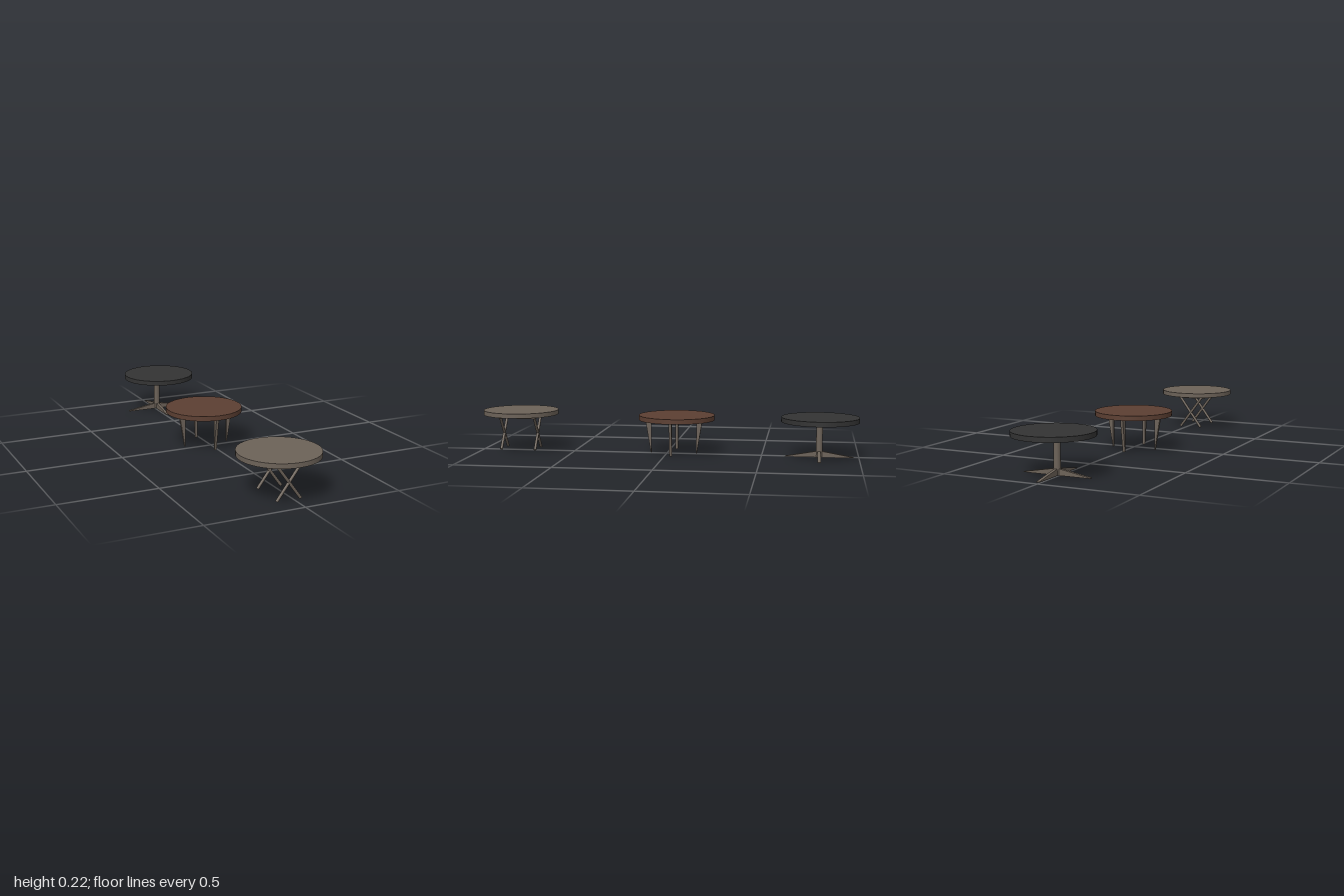
import * as THREE from 'three';

const material = (name, color) => new THREE.MeshStandardMaterial({ name, color });

export function createModel() {
  const taupe = material('taupe', 0x6c6258);
  const brown = material('brown', 0x5c3f32);
  const charcoal = material('charcoal', 0x333333);

  const add = (parent, name, geometry, mat, x = 0, y = 0, z = 0) => {
    const mesh = new THREE.Mesh(geometry, mat);
    mesh.name = name;
    mesh.position.set(x, y, z);
    parent.add(mesh);
    return mesh;
  };

  // Round slab between two heights
  const tabletop = (parent, mat, x, z, bottom, top) =>
    add(parent, 'tabletop', new THREE.CylinderGeometry(0.2, 0.2, top - bottom, 64), mat, x, (bottom + top) / 2, z);

  // Four flat blades around a centre; the outline is (radius, height)
  const blades = (parent, name, outline, thickness, x, z) => {
    const shape = new THREE.Shape(outline.map(([r, y]) => new THREE.Vector2(r, y)));
    const geometry = new THREE.ExtrudeGeometry(shape, { depth: thickness, bevelEnabled: false });
    geometry.translate(0, 0, -thickness / 2);
    for (let i = 0; i < 4; i++) add(parent, name, geometry, taupe, x, 0, z).rotation.y = i * Math.PI / 2;
  };

  const model = new THREE.Group();
  model.name = 'tables';
  const table = (name) => {
    const group = new THREE.Group();
    group.name = name;
    model.add(group);
    return group;
  };

  // Front table: two crossed pairs of round legs under a rectangular frame
  const crossed = table('crossLegTable');
  tabletop(crossed, taupe, -0.03, 0.8, 0.191, 0.215);
  const cx = -0.029, cz = 0.804;
  for (const side of [-1, 1]) {
    add(crossed, 'crossRail', new THREE.BoxGeometry(0.155, 0.017, 0.012), taupe, cx, 0.1825, cz + side * 0.094);
    add(crossed, 'sideRail', new THREE.BoxGeometry(0.012, 0.017, 0.176), taupe, cx + side * 0.0715, 0.1825, cz);
    for (const lean of [-1, 1]) {
      const foot = new THREE.Vector3(-lean * 0.062, 0.005, 0);
      const head = new THREE.Vector3(lean * 0.068, 0.181, 0);
      const dir = head.clone().sub(foot);
      const leg = add(crossed, 'crossLeg', new THREE.CylinderGeometry(0.0072, 0.0072, dir.length(), 16), taupe,
        cx, 0.093, cz + side * 0.093);
      leg.position.x += (foot.x + head.x) / 2;
      leg.quaternion.setFromUnitVectors(new THREE.Vector3(0, 1, 0), dir.normalize());
    }
  }

  // Middle table: four tapered fin legs
  const finned = table('finLegTable');
  tabletop(finned, brown, -0.018, -0.05, 0.178, 0.203);
  blades(finned, 'taperedLeg', [[0.12, 0], [0.1225, 0], [0.152, 0.178], [0.12, 0.178]], 0.014, -0.0145, -0.035);

  // Back table: column with a four-pointed foot and matching top brackets
  const pedestal = table('pedestalTable');
  tabletop(pedestal, charcoal, 0.029, -0.8, 0.186, 0.211);
  const px = 0.0138, pz = -0.797;
  add(pedestal, 'column', new THREE.CylinderGeometry(0.0165, 0.0165, 0.184, 32), taupe, px, 0.094, pz);
  blades(pedestal, 'footBlade', [[0, 0], [0.176, 0], [0.176, 0.003], [0.012, 0.032], [0, 0.032]], 0.016, px, pz);
  blades(pedestal, 'topBracket', [[0, 0.173], [0.014, 0.173], [0.086, 0.184], [0.086, 0.186], [0, 0.186]], 0.012, px, pz);

  return model;
}
